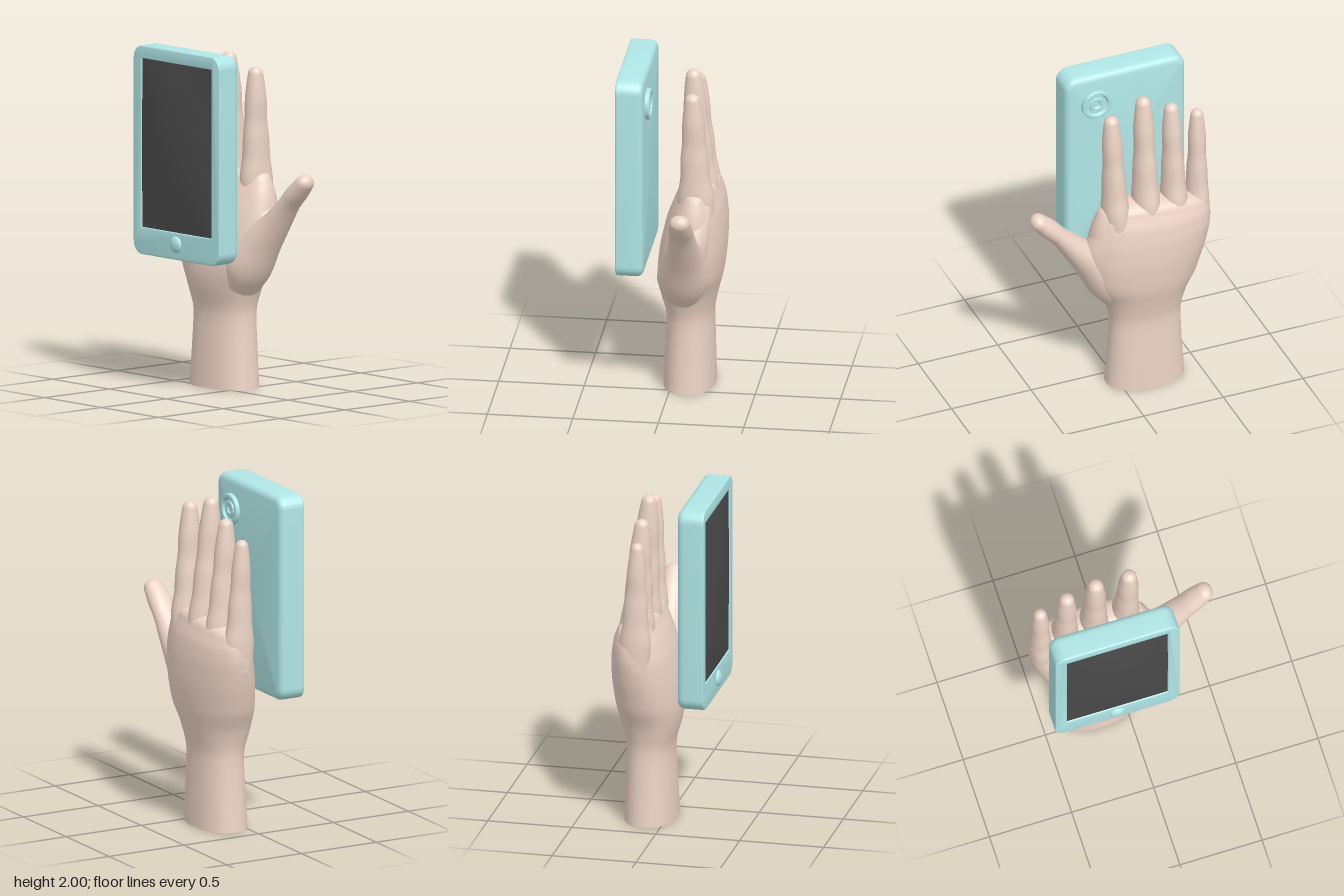
import * as THREE from 'three';
import { toCreasedNormals } from 'three/addons/utils/BufferGeometryUtils.js';

const skin = new THREE.MeshStandardMaterial({ color: 0xecd3c5, side: THREE.DoubleSide });
const shellColor = new THREE.MeshStandardMaterial({ color: 0xb0e6e6 });
const glass = new THREE.MeshStandardMaterial({ color: 0x4a4a4a, side: THREE.DoubleSide });

function add(parent, name, geometry, material, x = 0, y = 0, z = 0) {
  const mesh = new THREE.Mesh(geometry, material);
  mesh.name = name;
  mesh.position.set(x, y, z);
  parent.add(mesh);
  return mesh;
}

// Skins a list of equal rings of Vector3; optionally closes either end
function skinRings(rings, capStart, capEnd) {
  const n = rings[0].length, verts = [], index = [];
  rings.forEach((ring) => ring.forEach((p) => verts.push(p.x, p.y, p.z)));
  for (let i = 0; i < rings.length - 1; i++)
    for (let k = 0; k < n; k++) {
      const a = i * n + k, b = i * n + (k + 1) % n;
      index.push(a, b, b + n, a, b + n, a + n);
    }
  const cap = (i, flip) => {
    const c = new THREE.Vector3();
    rings[i].forEach((p) => c.addScaledVector(p, 1 / n));
    const pole = verts.length / 3;
    verts.push(c.x, c.y, c.z);
    for (let k = 0; k < n; k++) {
      const a = i * n + k, b = i * n + (k + 1) % n;
      index.push(pole, flip ? b : a, flip ? a : b);
    }
  };
  if (capStart) cap(0, true);
  if (capEnd) cap(rings.length - 1, false);
  const g = new THREE.BufferGeometry();
  g.setAttribute('position', new THREE.Float32BufferAttribute(verts, 3));
  g.setIndex(index);
  g.computeVertexNormals();
  return g;
}

// Smooth limb through stations [x, y, z, radiusX, radiusZ, tilt], ending in a dome
function limb(stations, domeHeight, power = 2, sides = 28) {
  const centre = new THREE.CatmullRomCurve3(stations.map((s) => new THREE.Vector3(s[0], s[1], s[2])));
  const size = new THREE.CatmullRomCurve3(stations.map((s) => new THREE.Vector3(s[3], s[4], s[5] || 0)));
  const ring = (c, s, scale) => Array.from({ length: sides }, (_, k) => {
    const a = (k / sides) * Math.PI * 2;
    const bend = (v) => Math.sign(v) * Math.abs(v) ** (2 / power);
    const u = bend(Math.cos(a)) * s.x * scale, w = -bend(Math.sin(a)) * s.y * scale;
    return new THREE.Vector3(c.x + u * Math.cos(s.z), c.y + u * Math.sin(s.z), c.z + w);
  });
  const rings = [], steps = (stations.length - 1) * 4;
  for (let i = 0; i <= steps; i++) rings.push(ring(centre.getPoint(i / steps), size.getPoint(i / steps), 1));
  const end = centre.getPoint(1), s = size.getPoint(1);
  const up = new THREE.Vector3(-Math.sin(s.z), Math.cos(s.z), 0);
  for (let i = 1; i <= 5; i++) {
    const a = (i / 5.4) * Math.PI / 2;
    rings.push(ring(end.clone().addScaledVector(up, domeHeight * Math.sin(a)), s, Math.cos(a)));
  }
  return skinRings(rings, false, true);
}

function roundedRect(w, h, r, Type = THREE.Shape) {
  const s = new Type(), x = w / 2, y = h / 2;
  s.absarc(x - r, y - r, r, 0, Math.PI / 2);
  s.absarc(r - x, y - r, r, Math.PI / 2, Math.PI);
  s.absarc(r - x, r - y, r, Math.PI, Math.PI * 1.5);
  s.absarc(x - r, r - y, r, Math.PI * 1.5, Math.PI * 2);
  s.closePath();
  return s;
}

function createHand() {
  const hand = new THREE.Group();
  hand.name = 'hand';

  // Forearm stub, open at the bottom, widening into the palm
  add(hand, 'palmAndWrist', limb([
    [-0.17, 0.0, -0.098, 0.24, 0.152],
    [-0.17, 0.2, -0.1, 0.225, 0.146],
    [-0.17, 0.43, -0.102, 0.215, 0.138],
    [-0.165, 0.6, -0.098, 0.255, 0.172],
    [-0.155, 0.73, -0.108, 0.325, 0.192],
    [-0.165, 0.9, -0.125, 0.365, 0.19],
    [-0.18, 1.03, -0.138, 0.375, 0.174],
    [-0.19, 1.14, -0.15, 0.365, 0.145, 0.04],
    [-0.2, 1.22, -0.155, 0.34, 0.11, 0.1],
  ], 0.06, 2.25, 40), skin);

  // Fingers: base x, tip x, base z, tip z, tip y, thickness
  const fingers = {
    indexFinger: [0.035, 0.055, -0.165, -0.14, 1.89, 1],
    middleFinger: [-0.155, -0.155, -0.165, -0.118, 1.96, 1.02],
    ringFinger: [-0.335, -0.33, -0.155, -0.12, 1.87, 0.96],
    littleFinger: [-0.487, -0.497, -0.13, -0.11, 1.78, 0.86],
  };
  // Position along the finger, width and depth, swelling at the joints
  const joints = [[0, 0.075, 0.1], [0.2, 0.08, 0.108], [0.36, 0.072, 0.088], [0.5, 0.067, 0.083],
    [0.63, 0.058, 0.07], [0.75, 0.06, 0.067], [0.88, 0.051, 0.055], [0.95, 0.044, 0.045]];
  for (const [name, [x0, x1, z0, z1, top, k]] of Object.entries(fingers)) {
    const y0 = name === 'littleFinger' ? 1.0 : 1.06;
    const stations = joints.map(([t, rx, rz]) => [
      THREE.MathUtils.lerp(x0, x1, t), THREE.MathUtils.lerp(y0, top, t),
      THREE.MathUtils.lerp(z0, z1, t), rx * k, rz * k]);
    add(hand, name, limb(stations, (top - y0) * 0.05), skin);
  }

  // Thumb, with its fleshy base sunk into the palm
  add(hand, 'thumb', limb([
    [0.0, 0.62, -0.085, 0.1, 0.12, -0.7],
    [0.06, 0.74, -0.085, 0.135, 0.15, -0.68],
    [0.16, 0.885, -0.1, 0.113, 0.122, -0.62],
    [0.275, 1.01, -0.115, 0.078, 0.092, -0.66],
    [0.37, 1.12, -0.12, 0.057, 0.076, -0.68],
    [0.44, 1.195, -0.122, 0.058, 0.072, -0.72],
    [0.505, 1.26, -0.125, 0.05, 0.06, -0.78],
  ], 0.05), skin);

  // Web of skin between thumb and index finger
  add(hand, 'thumbWeb', limb([
    [0.06, 0.85, -0.13, 0.15, 0.12],
    [0.1, 0.98, -0.14, 0.125, 0.11],
    [0.085, 1.1, -0.155, 0.095, 0.1],
    [0.06, 1.19, -0.16, 0.075, 0.095],
  ], 0.05), skin);
  return hand;
}

function createPhone() {
  const phone = new THREE.Group();
  phone.name = 'phone';
  phone.position.set(-0.1525, 1.3875, 0);
  const W = 0.755, H = 1.225, R = 0.075;

  // Rear shell with a soft back edge: inset and depth of each outline
  const outlines = [[0.04, 0.13], [0.024, 0.133], [0.012, 0.141], [0.003, 0.155], [0, 0.17], [0, 0.272]];
  const rings = outlines.map(([d, z]) => roundedRect(W - 2 * d, H - 2 * d, R - d).getPoints(8)
    .slice(0, -1).map((p) => new THREE.Vector3(p.x, p.y, z)));
  add(phone, 'backShell', toCreasedNormals(skinRings(rings, true, false), 0.6), shellColor);

  // Front frame around the display opening
  const b = 0.007;
  const frame = roundedRect(W - 2 * b, H - 2 * b, R - b);
  const sw = 0.615, sh = 0.99, sy = 0.0425;
  const hole = new THREE.Path();
  hole.moveTo(-sw / 2 - b, sy - sh / 2 - b).lineTo(-sw / 2 - b, sy + sh / 2 + b);
  hole.lineTo(sw / 2 + b, sy + sh / 2 + b).lineTo(sw / 2 + b, sy - sh / 2 - b).closePath();
  frame.holes.push(hole);
  add(phone, 'frontFrame', toCreasedNormals(new THREE.ExtrudeGeometry(frame, {
    depth: 0.016, bevelSize: b, bevelThickness: b, bevelSegments: 3, curveSegments: 8,
  }), 0.6), shellColor, 0, 0, 0.267);

  // Gently bulging display
  const screen = new THREE.PlaneGeometry(sw + 0.01, sh + 0.01, 20, 28);
  const p = screen.attributes.position;
  for (let i = 0; i < p.count; i++) {
    const u = p.getX(i) / (sw / 2 + 0.005), v = p.getY(i) / (sh / 2 + 0.005);
    p.setZ(i, 0.036 * (1 - u * u) * (1 - v * v));
  }
  screen.computeVertexNormals();
  add(phone, 'screen', screen, glass, 0, sy, 0.281);

  // Domed home button
  const button = add(phone, 'homeButton', new THREE.SphereGeometry(0.049, 28, 16), shellColor, -0.0025, -0.522, 0.288);
  button.scale.z = 0.5;

  // Stepped camera lens on the back
  const profile = [[0.092, -0.005], [0.092, 0.021], [0.087, 0.026], [0.071, 0.026], [0.062, 0.012], [0.046, 0.012],
    [0.042, 0.02], [0.026, 0.02], [0.018, 0.01], [0, 0.01]].map(([x, y]) => new THREE.Vector2(x, y));
  const lens = new THREE.LatheGeometry(profile, 36).rotateX(-Math.PI / 2);
  add(phone, 'cameraLens', toCreasedNormals(lens, 0.5), shellColor, 0.19, 0.4225, 0.13);
  return phone;
}

export function createModel() {
  const model = new THREE.Group();
  model.name = 'handWithPhone';
  model.add(createHand(), createPhone());
  return model;
}
